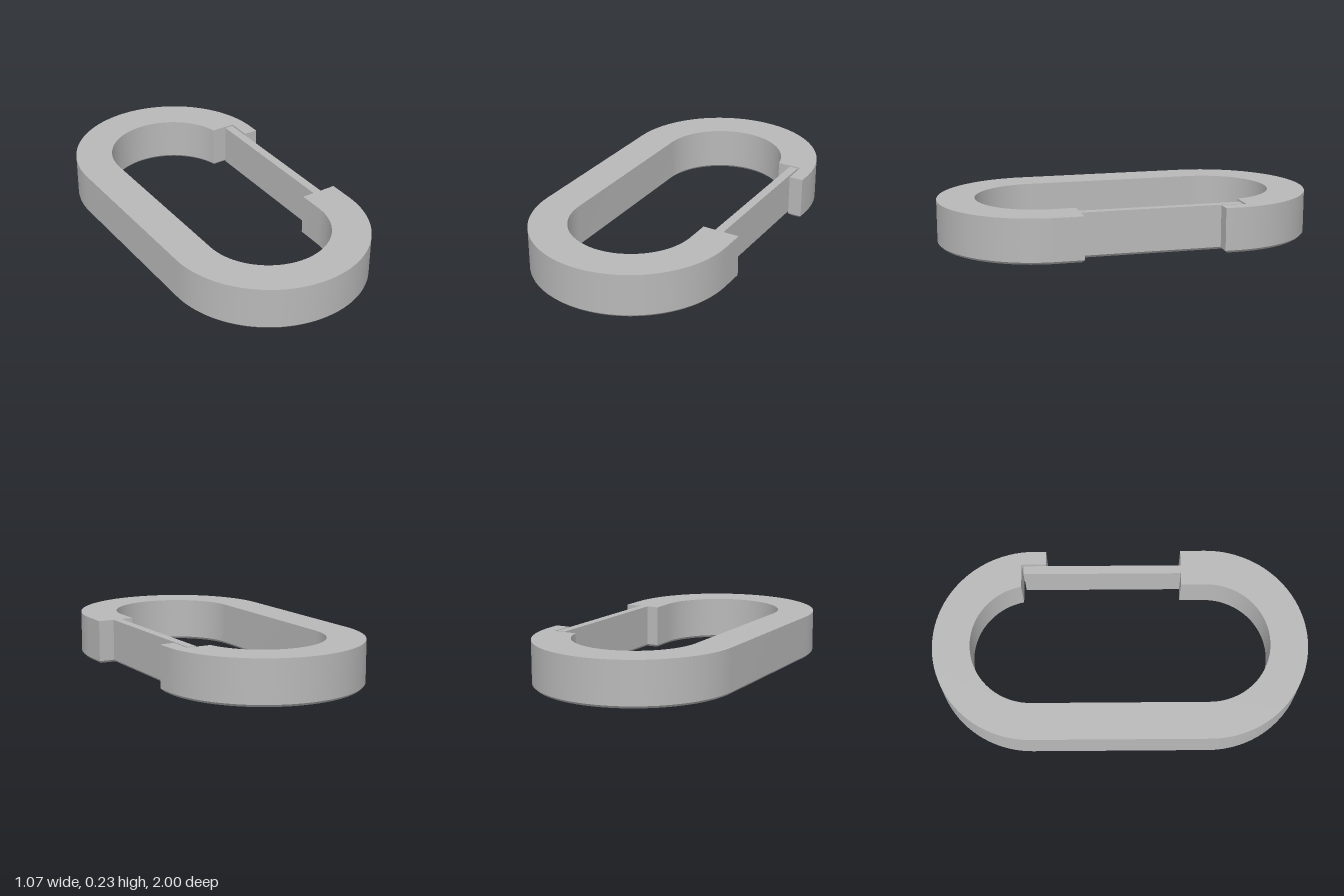
import * as THREE from 'three';
import { toCreasedNormals } from 'three/addons/utils/BufferGeometryUtils.js';

const HEIGHT = 0.235, CHAMFER = 0.013;
const OUTER = 0.533, INNER = 0.333, CENTRE = 0.467;

// Points on an arc around (0, cy), both ends included
function arc(cy, radius, from, to, steps = 48) {
  return Array.from({ length: steps + 1 }, (_, i) => {
    const a = from + (to - from) * i / steps;
    return new THREE.Vector2(radius * Math.cos(a), cy + radius * Math.sin(a));
  });
}

// Moves a counter-clockwise outline inwards with mitred corners
function inset(points, distance) {
  const n = points.length;
  const normal = (a, b) => new THREE.Vector2(a.y - b.y, b.x - a.x).normalize();
  return points.map((p, i) => {
    const n1 = normal(points[(i + n - 1) % n], p);
    const n2 = normal(p, points[(i + 1) % n]);
    const k = distance / (1 + n1.dot(n2));
    return p.clone().add(n1.add(n2).multiplyScalar(k));
  });
}

// Upright prism over an outline (x, -z), chamfered along its bottom edge
function chamferedPrism(outline) {
  const n = outline.length;
  const base = inset(outline, CHAMFER);
  const loops = [[base, 0], [outline, CHAMFER], [outline, HEIGHT]];
  const positions = loops.flatMap(([pts, y]) => pts.flatMap(p => [p.x, y, -p.y]));
  const index = [];
  for (let level = 0; level < 2; level++) {
    for (let i = 0; i < n; i++) {
      const a = level * n + i, b = level * n + (i + 1) % n;
      index.push(a, b, b + n, a, b + n, a + n);
    }
  }
  for (const [a, b, c] of THREE.ShapeUtils.triangulateShape(base, [])) index.push(a, c, b);
  for (const [a, b, c] of THREE.ShapeUtils.triangulateShape(outline, [])) {
    index.push(a + 2 * n, b + 2 * n, c + 2 * n);
  }
  const geometry = new THREE.BufferGeometry();
  geometry.setAttribute('position', new THREE.Float32BufferAttribute(positions, 3));
  geometry.setIndex(index);
  return toCreasedNormals(geometry, 0.5);
}

export function createModel() {
  const group = new THREE.Group();
  group.name = 'carabiner';
  const grey = new THREE.MeshStandardMaterial({ color: 0xb8b8b8 });
  grey.name = 'grey';
  const v = (x, y) => new THREE.Vector2(x, y);
  const add = (name, outline) => {
    const mesh = new THREE.Mesh(chamferedPrism(outline), grey);
    mesh.name = name;
    group.add(mesh);
  };

  // Open oval hook, with a stepped lip that stops the gate swinging outwards
  const notch = 0.533;
  add('body', [
    v(OUTER, 0.4),
    ...arc(CENTRE, OUTER, 0, Math.PI),
    ...arc(-CENTRE, OUTER, Math.PI, 2 * Math.PI),
    v(OUTER, -0.333),
    v(INNER, -0.333),
    ...arc(-CENTRE, INNER, 0, -Math.PI),
    ...arc(CENTRE, INNER, Math.PI, Math.asin((notch - CENTRE) / INNER)),
    v(0.457, notch),
    v(0.457, 0.4),
  ]);

  // Thin springy gate, rooted in the front end of the body
  add('gate', [v(0.4, -0.36), v(0.447, -0.36), v(0.447, 0.52), v(0.4, 0.52)]);

  return group;
}
